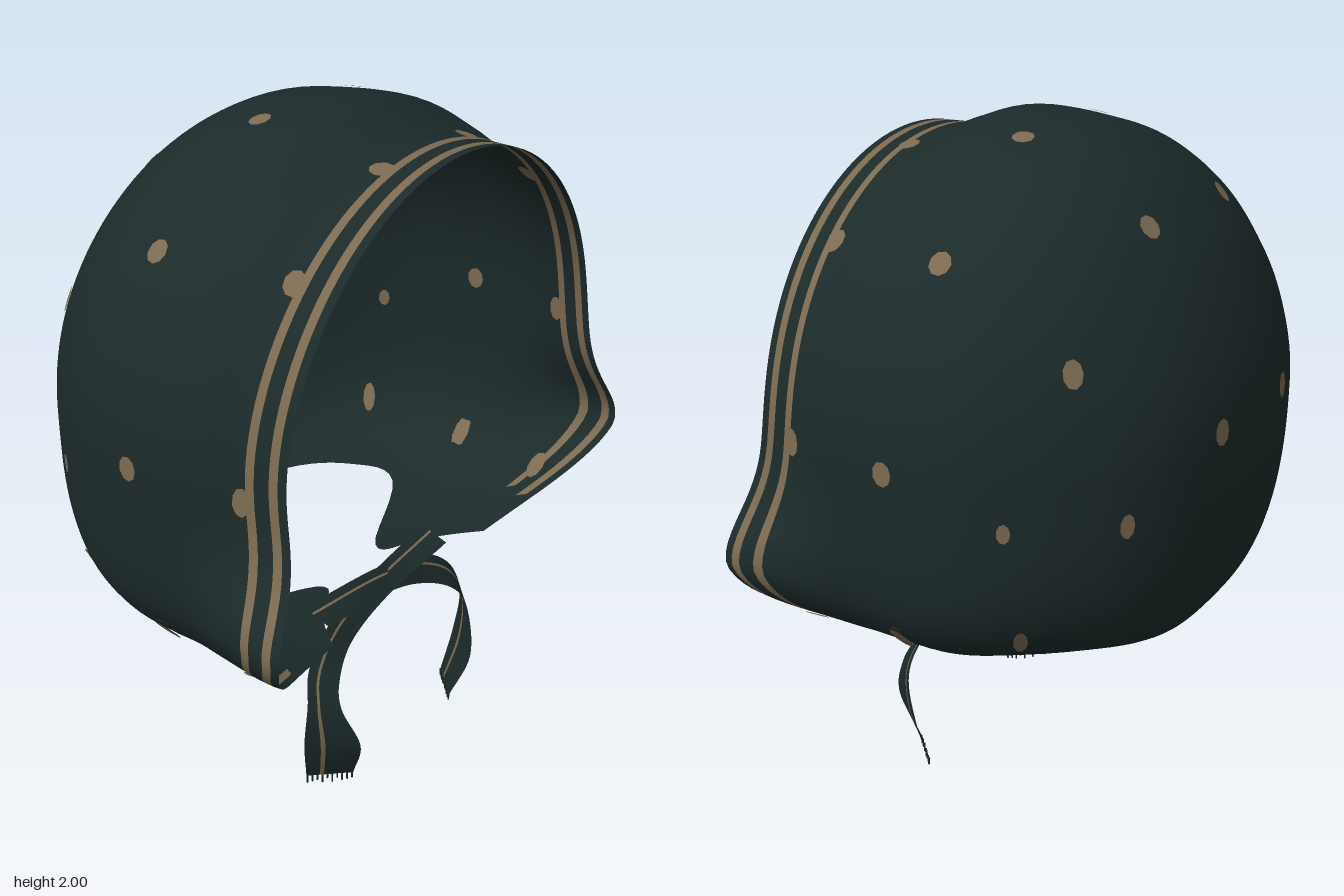
import * as THREE from 'three';

const cloth = new THREE.MeshStandardMaterial({ color: 0x1c2a2a, side: THREE.DoubleSide });
cloth.name = 'dark cloth';
const tan = new THREE.MeshStandardMaterial({ color: 0x7c6a50, side: THREE.DoubleSide });
tan.name = 'tan print';

// Cross-sections from back to front: z, half width, top, bottom, half width of neck opening, squareness below
const stations = [
  [-0.592, 0, 1.2, 1.2, 0, 2.2],
  [-0.578, 0.2, 1.36, 0.96, 0, 2.3],
  [-0.535, 0.375, 1.51, 0.75, 0, 2.5],
  [-0.475, 0.495, 1.65, 0.635, 0, 2.7],
  [-0.41, 0.58, 1.755, 0.6, 0, 3],
  [-0.3, 0.682, 1.875, 0.595, 0.3, 3.4],
  [-0.15, 0.768, 1.96, 0.585, 0.45, 3.8],
  [0, 0.8, 1.99, 0.563, 0.48, 4],
  [0.17, 0.805, 2.0, 0.563, 0.15, 4],
  [0.28, 0.79, 1.968, 0.567, 0.2, 4],
  [0.39, 0.755, 1.93, 0.572, 0.28, 4],
  [0.52, 0.73, 1.925, 0.58, 0.38, 4],
];
const LAST = stations.length - 1;
const spline = (...ids) => new THREE.CatmullRomCurve3(
  stations.map((s) => new THREE.Vector3(...ids.map((i) => s[i]))), false, 'catmullrom', 0.5);
const sizeCurve = spline(1, 2, 3);
const placeCurve = spline(0, 4, 5);
const MID = 1.2;

// Point on the hood: u runs -1..1 over the top from one neck edge to the other, s is the station
function hoodPoint(u, s) {
  const size = sizeCurve.getPoint(s / LAST), place = placeCurve.getPoint(s / LAST);
  const w = Math.max(size.x, 1e-4);
  const up = Math.max(size.y - MID, 1e-4), down = Math.max(MID - size.z, 1e-4);
  const inner = s <= 4 ? 0 : Math.max(0, place.y), n = place.z;
  const edgeY = down * Math.pow(Math.max(0, 1 - Math.pow(inner / w, n)), 1 / n);
  const a = Math.abs(u);
  const angle = a < 0.5 ? Math.PI * (0.5 - a) : -(2 * a - 1) * Math.atan2(edgeY, inner);
  const c = Math.abs(Math.cos(angle)), d = Math.abs(Math.sin(angle));
  const [h, k] = angle >= 0 ? [up, 2] : [down, n];
  const r = Math.pow(Math.pow(c / w, k) + Math.pow(d / h, k), -1 / k);
  let x = r * c, z = place.x;
  const y = MID + r * Math.sin(angle);
  // flared cheeks and swept front rim
  const g = THREE.MathUtils.smoothstep(s, 8, 11), e = y - 0.85;
  const flare = Math.exp(-Math.pow(e / (e > 0 ? 0.17 : 0.22), 2));
  x += g * 0.135 * flare * THREE.MathUtils.smoothstep(x, 0.3, 0.6);
  z += g * (e > 0 ? 0.08 * Math.exp(-Math.pow(e / 0.28, 2)) : 0.08 + 0.3 * e - 1.6 * e * e);
  return new THREE.Vector3(Math.sign(u) * x, y, z);
}

// Surface grid over two parameter lists; isTan picks the colour of each cell
function gridMesh(name, us, vs, point, isTan) {
  const pos = [], lists = [[], []];
  for (const v of vs) for (const u of us) pos.push(...point(u, v).toArray());
  for (let j = 0; j < vs.length - 1; j++) {
    for (let i = 0; i < us.length - 1; i++) {
      const a = j * us.length + i, b = a + 1, c = a + us.length, d = c + 1;
      lists[isTan((us[i] + us[i + 1]) / 2, (vs[j] + vs[j + 1]) / 2) ? 1 : 0].push(a, c, b, b, c, d);
    }
  }
  const geo = new THREE.BufferGeometry();
  geo.setAttribute('position', new THREE.Float32BufferAttribute(pos, 3));
  geo.setIndex([...lists[0], ...lists[1]]);
  geo.addGroup(0, lists[0].length, 0);
  geo.addGroup(lists[0].length, lists[1].length, 1);
  geo.computeVertexNormals();
  const mesh = new THREE.Mesh(geo, [cloth, tan]);
  mesh.name = name;
  return mesh;
}

const range = (n, a, b) => Array.from({ length: n + 1 }, (_, i) => a + ((b - a) * i) / n);

function makeHood() {
  const us = range(120, -1, 1);
  const vs = [...range(60, 0, 10), 10.16, 10.34, 10.5, 10.64, 10.82, 11];
  // two tan stripes follow the rim
  return gridMesh('hood', us, vs, hoodPoint, (u, s) =>
    ((s > 10.16 && s < 10.34) || (s > 10.64 && s < 10.82)) && hoodPoint(u, s).y > 0.63);
}

// Printed spot on both faces of the cloth, at the nearest hood point
function addSpot(group, target, wide, tall) {
  let best = Infinity, bu = 0, bs = 0;
  for (const s of range(66, 0.1, 10.9)) {
    for (const u of range(60, 0.02, 0.96)) {
      const dist = hoodPoint(u, s).distanceTo(target);
      if (dist < best) [best, bu, bs] = [dist, u, s];
    }
  }
  const p = hoodPoint(bu, bs), step = 0.01;
  const du = hoodPoint(bu + step, bs).sub(hoodPoint(bu - step, bs));
  const ds = hoodPoint(bu, bs + step).sub(hoodPoint(bu, bs - step));
  const normal = du.cross(ds).normalize();
  for (const side of [-1, 1]) {
    for (const mirror of [-1, 1]) {
      const spot = new THREE.Mesh(new THREE.CircleGeometry(1, 9), tan);
      spot.name = 'spot';
      spot.scale.set(wide, tall, 1);
      spot.position.copy(p).addScaledVector(normal, side * 0.004);
      const look = spot.position.clone().addScaledVector(normal, side);
      spot.position.x *= mirror;
      look.x *= mirror;
      spot.lookAt(look);
      group.add(spot);
    }
  }
}

// Tie ribbon: centre points and half-width vectors
const tiePath = [
  [0.3, 0.575, 0.29], [0.0, 0.55, 0.3], [-0.2, 0.5, 0.31], [-0.325, 0.43, 0.34],
  [-0.365, 0.34, 0.37], [-0.345, 0.2, 0.385], [-0.31, 0.05, 0.35],
];
const tieWidth = [
  [0, -0.015, 0.045], [0, -0.028, 0.03], [0.015, -0.036, 0.025], [0.03, -0.022, 0.032],
  [0.033, -0.005, 0.036], [0.05, 0, 0.065], [0.05, 0, 0.05],
];
function makeTie(mirror) {
  const toCurve = (list) => new THREE.CatmullRomCurve3(
    list.map(([x, y, z]) => new THREE.Vector3(x * mirror, y, z)), false, 'catmullrom', 0.5);
  const path = toCurve(tiePath), width = toCurve(tieWidth);
  const drop = mirror < 0 ? -0.03 : 0;
  const point = (u, t) => {
    const p = path.getPoint(t).addScaledVector(width.getPoint(t), u);
    p.y += drop * t * t + (mirror < 0 ? 0.012 * (1 - t) : 0);
    return p;
  };
  const group = new THREE.Group();
  group.name = mirror > 0 ? 'rightTie' : 'leftTie';
  group.add(gridMesh('ribbon', [-1, -0.42, -0.25, 0.4, 1], range(48, 0, 1), point,
    (u) => u > -0.42 && u < -0.25));
  // frayed end
  for (const u of range(9, -0.95, 0.95)) {
    const len = 0.022 + 0.008 * Math.sin(u * 17);
    const thread = new THREE.Mesh(new THREE.BoxGeometry(0.004, len, 0.004), cloth);
    thread.name = 'fringe';
    thread.position.copy(point(u, 1));
    thread.position.y = Math.max(thread.position.y - len / 2, len / 2);
    group.add(thread);
  }
  return group;
}

// Spots on one half: centre, then half width and half height
const spotPlaces = [
  [0.21, 1.265, -0.58, 0.031, 0.038], [0.5, 1.09, -0.44, 0.022, 0.036],
  [0.22, 1.785, -0.37, 0.031, 0.034], [0.58, 1.5, -0.36, 0.027, 0.038],
  [0.21, 1.98, 0.035, 0.031, 0.031], [0.61, 1.735, 0.03, 0.031, 0.034],
  [0.8, 1.22, 0.075, 0.028, 0.035], [0.72, 0.68, 0.12, 0.027, 0.06],
  [0.19, 1.93, 0.4, 0.035, 0.03], [0.55, 1.71, 0.405, 0.03, 0.036],
  [0.75, 1.23, 0.42, 0.025, 0.04], [0.68, 0.75, -0.25, 0.02, 0.05],
  [0.72, 0.67, 0.42, 0.025, 0.05], [0.76, 1.09, -0.26, 0.018, 0.028],
];

export function createModel() {
  const model = new THREE.Group();
  model.name = 'bonnet';
  model.add(makeHood());

  const spots = new THREE.Group();
  spots.name = 'spots';
  for (const [x, y, z, wide, tall] of spotPlaces) {
    addSpot(spots, new THREE.Vector3(x, y, z), wide, tall);
  }
  model.add(spots);

  model.add(makeTie(1), makeTie(-1));
  return model;
}
